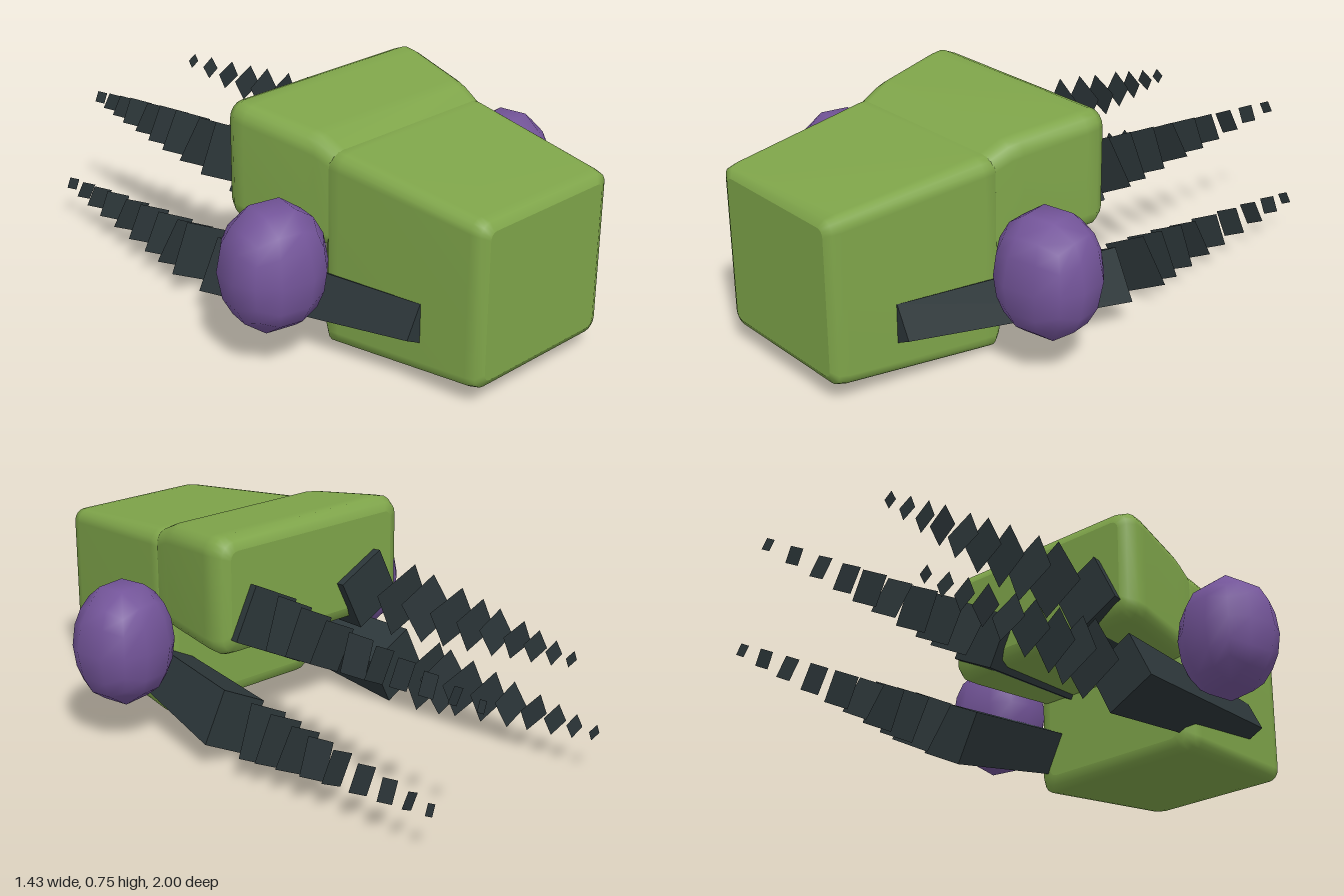
import * as THREE from 'three';
import { mergeVertices } from 'three/addons/utils/BufferGeometryUtils.js';

const green = new THREE.MeshStandardMaterial({ color: 0x7fa54a });
const purple = new THREE.MeshStandardMaterial({ color: 0x74559a });
const dark = new THREE.MeshStandardMaterial({ color: 0x2c3639, flatShading: true });
const plateMat = new THREE.MeshStandardMaterial({ color: 0x2c3639, flatShading: true, side: THREE.DoubleSide });

function add(parent, name, geometry, material) {
  const mesh = new THREE.Mesh(geometry, material);
  mesh.name = name;
  parent.add(mesh);
  return mesh;
}

// Outline of a rounded rectangle, counter-clockwise seen from +z
function ring([z, w, y0, y1, r]) {
  const pts = [];
  const corners = [[w - r, y1 - r], [r - w, y1 - r], [r - w, y0 + r], [w - r, y0 + r]];
  corners.forEach(([x, y], k) => {
    for (let i = 0; i <= 4; i++) {
      const a = (k + i / 4) * Math.PI / 2;
      pts.push([x + r * Math.cos(a), y + r * Math.sin(a), z]);
    }
  });
  return pts;
}

// Closed loft through rounded rectangles, listed from back to front
function loft(sections) {
  const pos = [], index = [], n = 20;
  sections.forEach((s) => ring(s).forEach((p) => pos.push(...p)));
  for (let s = 0; s < sections.length - 1; s++) {
    for (let i = 0; i < n; i++) {
      const a = s * n + i, b = s * n + (i + 1) % n;
      index.push(a, b, b + n, a, b + n, a + n);
    }
  }
  [0, sections.length - 1].forEach((s, end) => {
    const start = pos.length / 3;
    const [z, , y0, y1] = sections[s];
    ring(sections[s]).forEach((p) => pos.push(...p));
    pos.push(0, (y0 + y1) / 2, z);
    for (let i = 0; i < n; i++) {
      const a = start + i, b = start + (i + 1) % n;
      if (end) index.push(a, b, start + n);
      else index.push(b, a, start + n);
    }
  });
  const g = new THREE.BufferGeometry();
  g.setAttribute('position', new THREE.Float32BufferAttribute(pos, 3));
  g.setIndex(index);
  g.computeVertexNormals();
  return g;
}

// Square bar along z, tapering and leaning from the back end to the front end
function bar(back, front, turn) {
  const g = new THREE.CylinderGeometry(front.r, back.r, 1, 4);
  g.rotateX(Math.PI / 2);
  g.rotateZ(turn);
  const p = g.attributes.position;
  for (let i = 0; i < p.count; i++) {
    const t = p.getZ(i) + 0.5;
    p.setXYZ(i,
      p.getX(i) + THREE.MathUtils.lerp(back.x, front.x, t),
      p.getY(i) + THREE.MathUtils.lerp(back.y, front.y, t),
      THREE.MathUtils.lerp(back.z, front.z, t));
  }
  g.computeVertexNormals();
  return g;
}

// Low-sided smooth ball made from a box
function ball() {
  const g = new THREE.BoxGeometry(2, 2, 2, 3, 4, 3);
  g.deleteAttribute('normal');
  g.deleteAttribute('uv');
  const p = g.attributes.position, v = new THREE.Vector3();
  for (let i = 0; i < p.count; i++) {
    v.fromBufferAttribute(p, i).normalize();
    p.setXYZ(i, v.x, v.y, v.z);
  }
  const merged = mergeVertices(g);
  merged.computeVertexNormals();
  return merged;
}

export function createModel() {
  const model = new THREE.Group();
  model.name = 'creature';

  // Deep front part of the body
  add(model, 'frontBody', loft([
    [0.375, 0.29, 0.06, 0.64, 0.03],
    [0.38, 0.325, 0.025, 0.675, 0.05],
    [0.41, 0.345, 0.01, 0.69, 0.055],
    [0.45, 0.342, 0.014, 0.688, 0.055],
    [0.95, 0.293, 0.066, 0.637, 0.045],
    [0.985, 0.284, 0.075, 0.63, 0.04],
    [1.0, 0.255, 0.1, 0.602, 0.025],
  ]), green);

  // Raised, wider rear part of the body
  add(model, 'rearBody', loft([
    [-0.01, 0.365, 0.4, 0.715, 0.03],
    [0.0, 0.395, 0.365, 0.745, 0.05],
    [0.035, 0.413, 0.35, 0.76, 0.06],
    [0.08, 0.41, 0.35, 0.756, 0.06],
    [0.31, 0.365, 0.35, 0.73, 0.06],
    [0.35, 0.355, 0.35, 0.722, 0.06],
    [0.42, 0.342, 0.35, 0.69, 0.055],
    [0.5, 0.31, 0.37, 0.665, 0.05],
  ]), green);

  const arms = [
    {
      name: 'upper', back: { x: 0.24, y: 0.46, z: -0.04, r: 0.14 }, front: { x: 0.2, y: 0.42, z: 0.78, r: 0.085 },
      tip: { x: 0.245, y: 0.45 },
      left: [-0.15, -0.245, -0.355, -0.47, -0.57, -0.67, -0.78, -0.89, -0.995],
      right: [-0.2, -0.315, -0.43, -0.53, -0.62, -0.71, -0.785, -0.86, -0.93],
    },
    {
      name: 'lower', back: { x: 0.385, y: 0.135, z: -0.04, r: 0.135 }, front: { x: 0.285, y: 0.22, z: 0.78, r: 0.085 },
      tip: { x: 0.4, y: 0.15 },
      left: [-0.18, -0.26, -0.355, -0.445, -0.54, -0.655, -0.765, -0.86, -0.945],
      right: [-0.19, -0.27, -0.36, -0.47, -0.57, -0.67, -0.76, -0.84, -0.92],
    },
  ];

  for (const [side, s] of [['left', 1], ['right', -1]]) {
    // Bulging eyes
    const eye = add(model, side + 'Eye', ball(), purple);
    eye.scale.set(0.18, 0.222, 0.165);
    eye.position.set(s * 0.535, 0.35, 0.36);
    eye.rotation.y = s * 0.2;

    for (const arm of arms) {
      const turn = -s * 0.32;
      const at = (e) => ({ ...e, x: s * e.x });
      add(model, side + arm.name + 'ArmBase', bar(at(arm.back), at(arm.front), turn), dark);

      // Trail of shrinking, slightly wobbling plates
      const trail = new THREE.Group();
      trail.name = side + arm.name + 'ArmPlates';
      arm[side].forEach((z, i) => {
        const t = i / 8;
        const plate = add(trail, 'plate', new THREE.CircleGeometry(0.13 - 0.102 * t, 4), plateMat);
        plate.position.set(
          s * THREE.MathUtils.lerp(arm.back.x, arm.tip.x, t),
          THREE.MathUtils.lerp(arm.back.y, arm.tip.y, t), z);
        plate.rotation.set(0.12 * Math.sin(i * 2.3 + s), 0.1 * s + 0.05 * Math.cos(i * 1.7), turn);
      });
      model.add(trail);
    }
  }
  return model;
}
